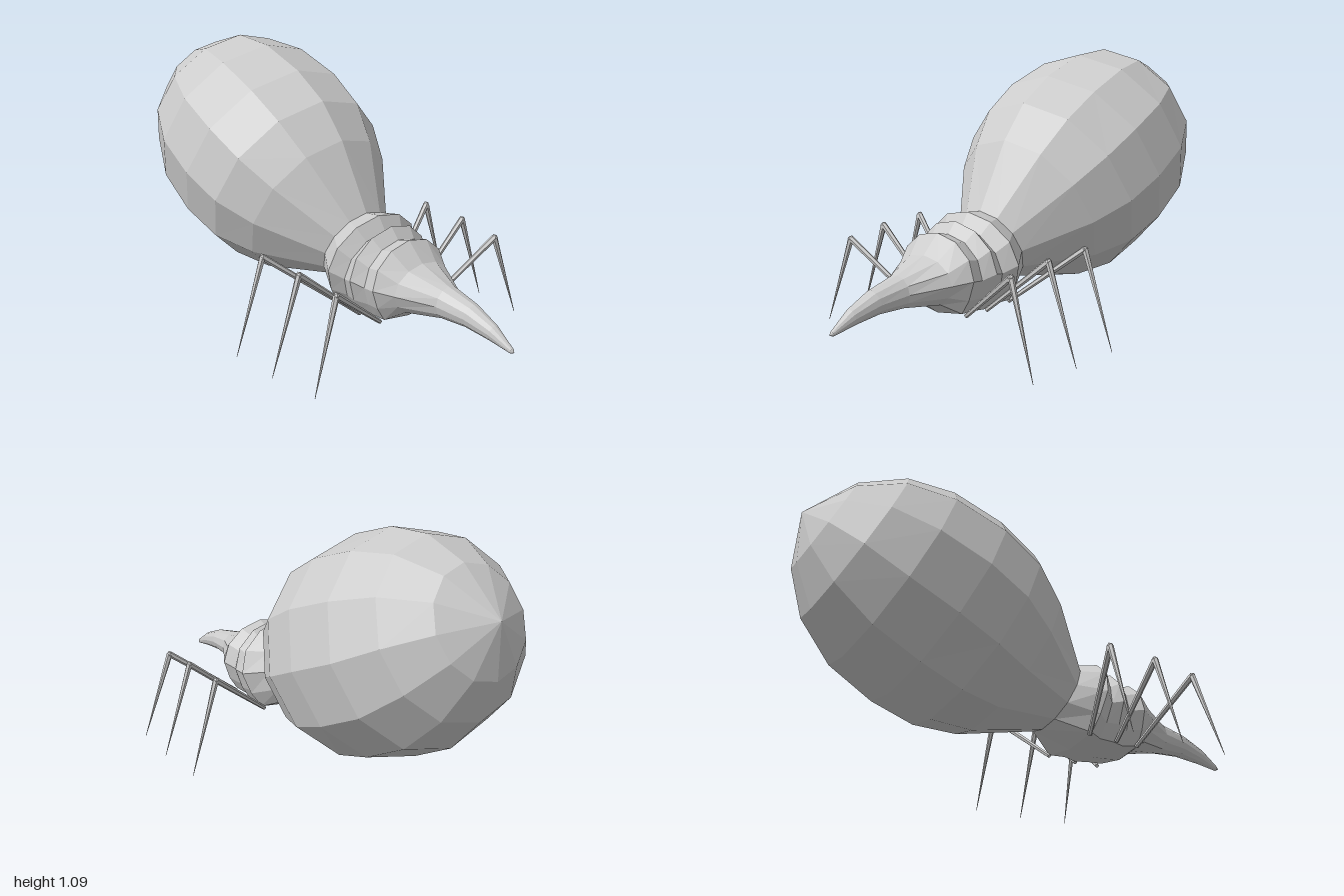
import * as THREE from 'three';

const SIDES = 12;
const material = new THREE.MeshStandardMaterial({ color: 0xcccccc, flatShading: true, side: THREE.DoubleSide });

// Skin over rings [topX, topY, bottomX, bottomY, halfWidth, flat belly 0..1]
function loft(name, rings) {
  const pos = [], index = [];
  for (const [tx, ty, bx, by, w, flat = 0] of rings) {
    for (let j = 0; j < SIDES; j++) {
      const a = (j / SIDES) * Math.PI * 2;
      let c = Math.cos(a), s = Math.sin(a);
      // the two points beside the lowest one spread out into belly corners
      if (j === 5 || j === 7) s *= 1 + 0.36 * flat;
      pos.push((tx + bx) / 2 + (tx - bx) / 2 * c, (ty + by) / 2 + (ty - by) / 2 * c, w * s);
    }
  }
  for (let i = 0; i < rings.length - 1; i++) {
    for (let j = 0; j < SIDES; j++) {
      const k = (j + 1) % SIDES;
      const a = i * SIDES + j, b = i * SIDES + k, c = a + SIDES, d = b + SIDES;
      index.push(a, b, c, b, d, c);
    }
  }
  const geo = new THREE.BufferGeometry();
  geo.setAttribute('position', new THREE.Float32BufferAttribute(pos, 3));
  geo.setIndex(index);
  geo.computeVertexNormals();
  const mesh = new THREE.Mesh(geo, material);
  mesh.name = name;
  return mesh;
}

// Tapered rod between two points
function rod(name, from, to, r0, r1) {
  const dir = to.clone().sub(from);
  const mesh = new THREE.Mesh(new THREE.CylinderGeometry(r1, r0, dir.length(), 6), material);
  mesh.position.copy(from).add(to).multiplyScalar(0.5);
  mesh.quaternion.setFromUnitVectors(new THREE.Vector3(0, 1, 0), dir.normalize());
  mesh.name = name;
  return mesh;
}

function leg(name, side, hip, knee, foot) {
  const [h, k, f] = [hip, knee, foot].map(([x, y, z]) => new THREE.Vector3(x, y, z * side));
  const g = new THREE.Group();
  g.name = name;
  const joint = new THREE.Mesh(new THREE.IcosahedronGeometry(0.014, 0), material);
  joint.position.copy(k);
  joint.name = 'knee';
  g.add(rod('upperLeg', h, k, 0.009, 0.013), joint, rod('lowerLeg', k, f, 0.013, 0.001));
  return g;
}

export function createModel() {
  const model = new THREE.Group();
  model.name = 'insect';

  // Swollen abdomen, tilted up towards the rear
  model.add(loft('abdomen', [
    [-1, 0.87, -1, 0.87, 0],
    [-0.81, 1.03, -1, 0.65, 0.21],
    [-0.62, 1.09, -0.93, 0.47, 0.345],
    [-0.43, 1.075, -0.79, 0.31, 0.423],
    [-0.22, 1.0, -0.6, 0.2, 0.445],
    [-0.06, 0.9, -0.42, 0.135, 0.423],
    [0.06, 0.76, -0.24, 0.125, 0.345],
    [0.21, 0.49, 0.08, 0.19, 0.165],
  ]));

  // Ridged thorax with a flattened belly
  model.add(loft('thorax', [
    [0.21, 0.49, 0.08, 0.19, 0.165],
    [0.283, 0.5, 0.21, 0.128, 0.235, 1],
    [0.32, 0.445, 0.27, 0.125, 0.193, 1],
    [0.355, 0.475, 0.33, 0.116, 0.207, 1],
    [0.395, 0.43, 0.39, 0.12, 0.177, 1],
    [0.455, 0.447, 0.46, 0.128, 0.193, 1],
    [0.53, 0.373, 0.53, 0.18, 0.148, 0.5],
  ]));

  // Head drawn out into a pointed snout
  model.add(loft('head', [
    [0.53, 0.373, 0.53, 0.18, 0.148, 0.5],
    [0.67, 0.325, 0.67, 0.195, 0.066],
    [0.8, 0.295, 0.78, 0.2, 0.047],
    [0.905, 0.25, 0.89, 0.187, 0.029],
    [0.99, 0.19, 0.985, 0.17, 0.01],
    [1, 0.177, 1, 0.177, 0],
  ]));

  // Three pairs of thin bent legs: hip, knee, foot
  const legs = [
    ['rearLeg', [0.21, 0.145, 0.15], [0.108, 0.39, 0.45], [0.1, 0, 0.58]],
    ['middleLeg', [0.34, 0.14, 0.15], [0.325, 0.385, 0.445], [0.325, 0, 0.58]],
    ['frontLeg', [0.445, 0.14, 0.14], [0.52, 0.365, 0.43], [0.545, 0, 0.555]],
  ];
  for (const [name, hip, knee, foot] of legs) {
    for (const side of [1, -1]) model.add(leg(name, side, hip, knee, foot));
  }
  return model;
}
